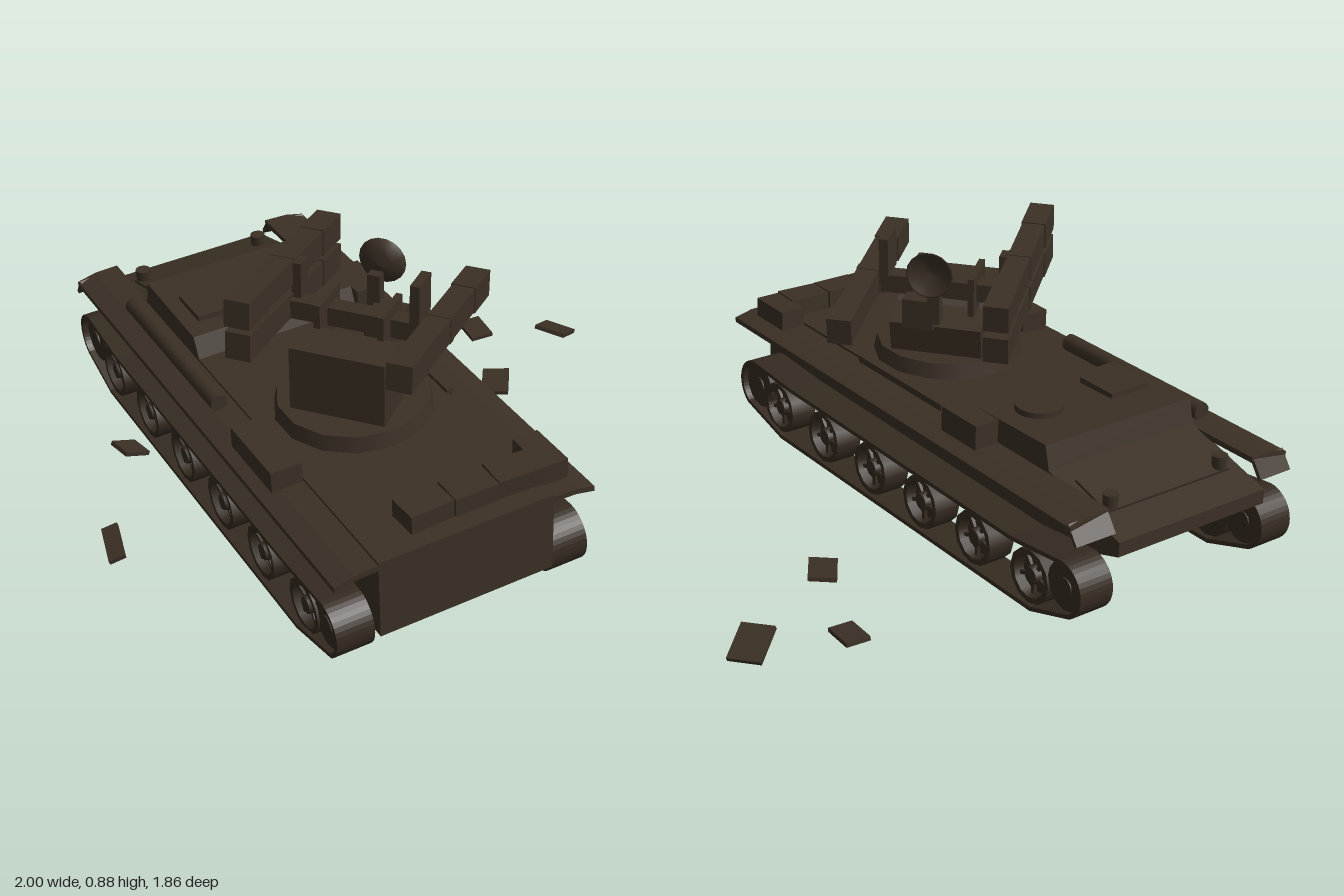
import * as THREE from 'three';

const paint = new THREE.MeshStandardMaterial({ color: 0x3b3025 });
paint.name = 'scorched paint';
const steel = new THREE.MeshStandardMaterial({ color: 0x352b21 });
steel.name = 'burnt steel';

function add(parent, name, geo, pos = [0, 0, 0], mat = paint, rot = [0, 0, 0]) {
  const m = new THREE.Mesh(geo, mat);
  m.name = name;
  m.position.set(...pos);
  m.rotation.set(...rot);
  parent.add(m);
  return m;
}
const box = (w, h, d) => new THREE.BoxGeometry(w, h, d);
const cyl = (r1, r2, h, n = 16) => new THREE.CylinderGeometry(r1, r2, h, n);
const poly = (pts) => new THREE.Shape(pts.map((p) => new THREE.Vector2(...p)));

// Extrudes a (z, y) outline across x, centred on x = 0
function acrossX(shape, width) {
  const g = new THREE.ExtrudeGeometry(shape, { depth: width, bevelEnabled: false, curveSegments: 8 });
  return g.translate(0, 0, -width / 2).rotateY(-Math.PI / 2);
}

// Closed track outline, inset by t
function trackOutline(t, Kind) {
  const s = new Kind(), r = 0.092 - t, rad = Math.PI / 180;
  s.moveTo(-0.7, t);
  s.lineTo(0.66, t);
  s.absarc(0.825, 0.132, r, -58 * rad, 90 * rad, false);
  s.lineTo(0.6, 0.212 - t);
  s.lineTo(-0.6, 0.205 - t);
  s.absarc(-0.83, 0.14, r, 90 * rad, 240 * rad, false);
  s.closePath();
  return s;
}

// Dished wheel with raised rim and hub, outer face toward the given side
function roadWheel(parent, r, x, y, z, side) {
  const prof = [[0, -0.045], [r, -0.045], [r, 0.045], [r * 0.8, 0.045], [r * 0.7, 0.015],
    [r * 0.36, 0.02], [r * 0.3, 0.04], [0, 0.042]].map((p) => new THREE.Vector2(...p));
  const g = new THREE.Group();
  g.name = 'roadWheel';
  for (let i = 0; i < prof.length - 1; i++) {
    add(g, 'wheelRing', new THREE.LatheGeometry([prof[i], prof[i + 1]], 12), [0, 0, 0], steel);
  }
  for (let k = 0; k < 5; k++) {
    const a = (k / 5) * Math.PI * 2;
    add(g, 'wheelRib', box(r * 0.4, 0.014, 0.012),
      [Math.cos(a) * r * 0.53, 0.022, Math.sin(a) * r * 0.53], steel, [0, -a, 0]);
  }
  g.position.set(x, y, z);
  g.rotation.z = -side * Math.PI / 2;
  parent.add(g);
}

function buildVehicle() {
  const v = new THREE.Group();
  v.name = 'vehicle';

  // Hull with blunt front end and wedge-shaped rear end
  add(v, 'hull', acrossX(poly([[0.93, 0.118], [0.93, 0.383], [-0.6, 0.383], [-0.925, 0.292],
    [-0.925, 0.245], [-0.55, 0.118]]), 0.57));
  add(v, 'glacisPlate', box(0.48, 0.012, 0.15), [0, 0.345, -0.745], paint, [-0.27, 0, 0]);
  for (const s of [-1, 1]) {
    add(v, 'lamp', cyl(0.025, 0.022, 0.05, 10), [s * 0.215, 0.35, -0.8]);
  }

  // Raised engine cabin with hatches
  add(v, 'cabin', acrossX(poly([[-0.205, 0.38], [-0.235, 0.45], [-0.585, 0.458], [-0.605, 0.38]]), 0.57));
  add(v, 'squareHatch', box(0.15, 0.018, 0.15), [-0.16, 0.462, -0.375]);
  add(v, 'roundHatch', cyl(0.075, 0.075, 0.02, 20), [0.14, 0.462, -0.375]);

  // Turret ring
  add(v, 'turretRing', cyl(0.235, 0.245, 0.05, 14), [0.012, 0.41, 0.257]);

  for (const s of [-1, 1]) {
    // Fender with lightly drooping outer edge and hanging rear flap
    const sec = [[0.28, 0.375], [0.36, 0.372], [0.423, 0.357], [0.423, 0.34], [0.36, 0.354], [0.28, 0.357]];
    const fender = new THREE.ExtrudeGeometry(poly(sec.map(([x, y]) => [s * x, y])),
      { depth: 1.8, bevelEnabled: false }).translate(0, 0, -0.87);
    add(v, 'fender', fender);
    add(v, 'fenderFlap', box(0.135, 0.012, 0.07), [s * 0.352, 0.336, -0.878], paint, [-0.95, 0, s * -0.1]);

    // Track loop and running gear
    const loop = trackOutline(0, THREE.Shape);
    loop.holes.push(trackOutline(0.014, THREE.Path));
    add(v, 'track', acrossX(loop, 0.12), [s * 0.355, 0, 0], steel);
    for (let i = 0; i < 6; i++) roadWheel(v, 0.088, s * 0.357, 0.101, 0.69 - i * 0.273, s);
    for (const [name, y, z] of [['idlerWheel', 0.132, 0.825], ['driveSprocket', 0.14, -0.83]]) {
      add(v, name, cyl(0.078, 0.078, 0.09, 16), [s * 0.35, y, z], steel, [0, 0, Math.PI / 2]);
      add(v, name + 'Hub', cyl(0.03, 0.03, 0.1, 10), [s * 0.35, y, z], steel, [0, 0, Math.PI / 2]);
    }
  }

  // Stowage on the deck and fenders
  for (let i = 0; i < 3; i++) {
    add(v, 'deckBox', box(0.142, 0.06, 0.1), [-0.078 + i * 0.147, 0.412, 0.82], paint, [0, (i - 1) * -0.05, 0]);
  }
  add(v, 'fenderBox', box(0.085, 0.065, 0.16), [0.328, 0.405, 0.79]);
  add(v, 'fenderBox', box(0.095, 0.08, 0.17), [0.322, 0.41, -0.277]);
  add(v, 'fenderBox', box(0.1, 0.07, 0.26), [-0.337, 0.405, 0.365]);
  add(v, 'fenderRoll', cyl(0.029, 0.029, 0.64, 10), [-0.34, 0.397, -0.265], paint, [Math.PI / 2, 0, 0]);
  add(v, 'fenderRail', box(0.02, 0.025, 0.45), [0.29, 0.383, 0.13]);

  // Settled unevenly on the ground
  v.position.set(-0.213, 0.052, -0.012);
  v.rotation.set(0.042, 0, 0.055);
  return v;
}

// Launch box made of a long tube box with thicker ends and a middle band
function launchBox(parent, y, z) {
  const g = new THREE.Group();
  g.name = 'launchBox';
  add(g, 'boxBody', box(0.69, 0.08, 0.073));
  for (const s of [-1, 1]) add(g, 'boxEnd', box(0.14, 0.086, 0.079), [s * 0.278, 0, 0]);
  add(g, 'boxBand', box(0.03, 0.084, 0.077));
  g.position.set(0, y, z);
  g.rotation.z = -0.062;
  parent.add(g);
}

// Launcher turret: local +x is its firing direction
function buildLauncher() {
  const t = new THREE.Group();
  t.name = 'launcher';
  const side = poly([[-0.15, 0.45], [0.14, 0.45], [0.16, 0.59], [0.06, 0.62], [-0.02, 0.68], [-0.15, 0.67]]);
  add(t, 'pedestal', new THREE.ExtrudeGeometry(side, { depth: 0.3, bevelEnabled: false }), [-0.08, 0, -0.14]);
  add(t, 'crossBeam', box(0.06, 0.06, 0.44), [-0.02, 0.69, 0]);
  add(t, 'sightHousing', box(0.12, 0.1, 0.1), [0.05, 0.64, 0.06]);
  for (const s of [-1, 1]) add(t, 'yokePlate', box(0.16, 0.13, 0.02), [-0.03, 0.69, s * 0.1]);

  // Surviving launch boxes and the bare bracket of the missing one
  launchBox(t, 0.8, -0.247);
  launchBox(t, 0.695, -0.247);
  launchBox(t, 0.697, 0.247);
  add(t, 'upperBracket', box(0.05, 0.15, 0.03), [0, 0.76, -0.2]);
  add(t, 'bareBracket', box(0.1, 0.13, 0.03), [-0.017, 0.79, 0.19]);

  // Radar dish on a mast
  add(t, 'dishMast', box(0.04, 0.16, 0.04), [0.1, 0.7, 0.005]);
  const dish = new THREE.LatheGeometry([[0, 0], [0.04, 0.006], [0.065, 0.02], [0.076, 0.036],
    [0.07, 0.036], [0.04, 0.018], [0, 0.012]].map((p) => new THREE.Vector2(...p)), 18);
  add(t, 'radarDish', dish, [0.11, 0.8, 0.01], paint, [0, 0, -Math.PI / 2 + 0.05]);

  t.position.set(-0.16, 0, 0.2);
  t.rotation.y = 0.69;
  return t;
}

export function createModel() {
  const model = new THREE.Group();
  model.name = 'wreckedLauncherVehicle';
  model.add(buildVehicle(), buildLauncher());

  // Scattered plates: x, y, z, width, depth, yaw, tilt
  const debris = [
    [-0.71, 0.07, -0.355, 0.1, 0.08, 0.25, -0.4],
    [-0.957, 0.065, 0.09, 0.052, 0.15, -0.25, 0.35],
    [0.665, 0.072, -0.455, 0.08, 0.11, -0.08, 0.05],
    [0.915, 0.068, -0.32, 0.13, 0.11, 0.6, -0.35],
    [0.54, 0.066, -0.125, 0.09, 0.13, -0.6, 0.08],
    [-0.31, 0.07, -0.42, 0.11, 0.09, 0.5, 0.4],
    [-0.47, 0.07, -0.07, 0.13, 0.09, 0.2, 0.08],
    [-0.4, 0.075, 0.55, 0.06, 0.07, -0.4, 0.3],
  ];
  for (const [x, y, z, w, d, yaw, tilt] of debris) {
    const m = add(model, 'debrisPlate', box(w, 0.014, d), [x, y, z]);
    m.rotation.set(0.1, yaw, tilt, 'YXZ');
  }
  return model;
}
